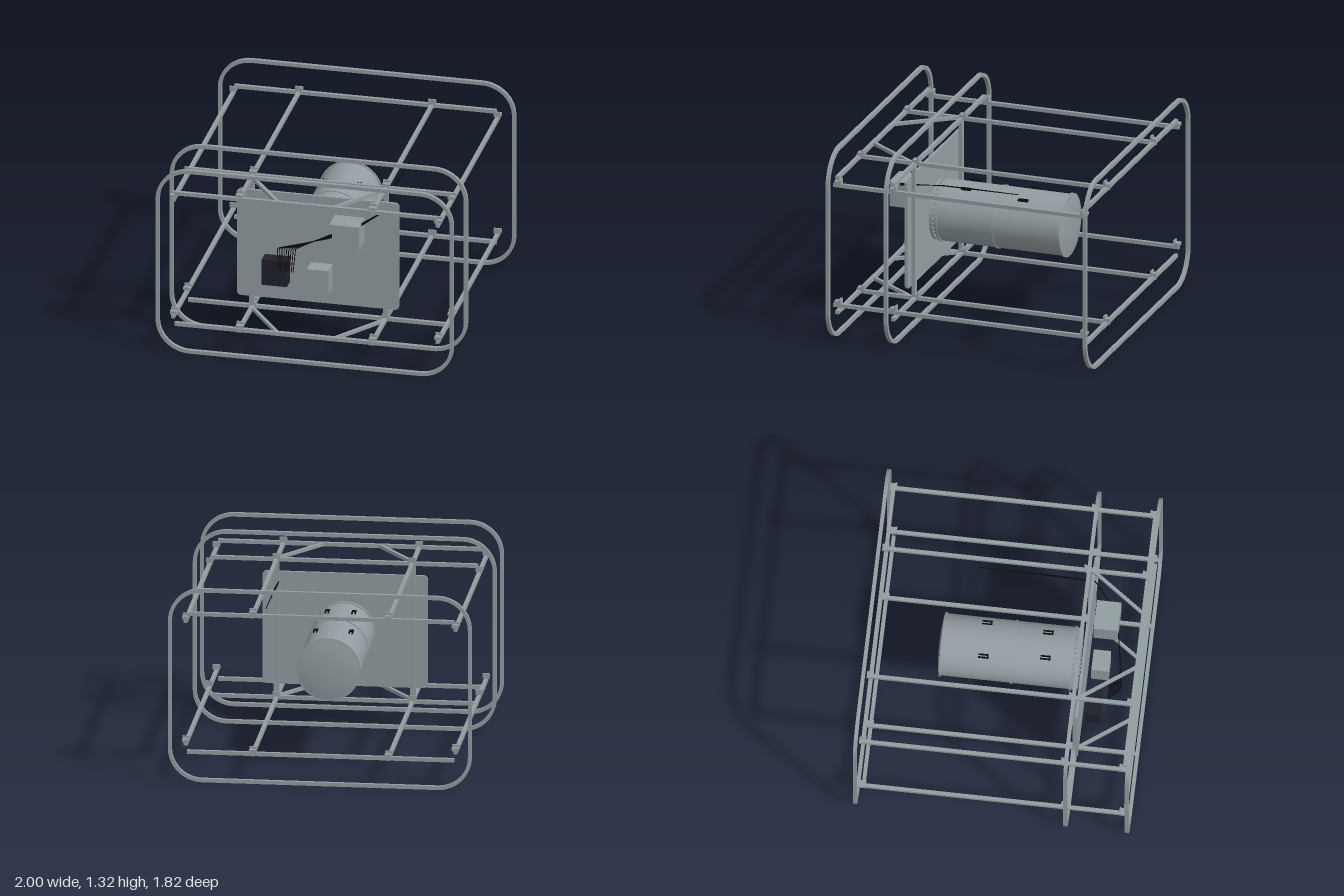
import * as THREE from 'three';
import { toCreasedNormals } from 'three/addons/utils/BufferGeometryUtils.js';

export function createModel() {
  const model = new THREE.Group();
  const material = (name, color) => {
    const m = new THREE.MeshStandardMaterial({ color });
    m.name = name;
    return m;
  };
  const steel = material('steel grey', 0x929da1);
  const darkBox = material('dark casing', 0x20202b);
  const black = material('black rubber', 0x0b0b0d);

  const add = (name, geometry, mat = steel, parent = model) => {
    const mesh = new THREE.Mesh(geometry, mat);
    mesh.name = name;
    parent.add(mesh);
    return mesh;
  };
  const box = (name, w, h, d, x, y, z, mat = steel) => {
    const mesh = add(name, new THREE.BoxGeometry(w, h, d), mat);
    mesh.position.set(x, y, z);
    return mesh;
  };
  // Square bar between two points
  const bar = (name, a, b, t) => {
    const from = new THREE.Vector3(...a), to = new THREE.Vector3(...b);
    const mesh = add(name, new THREE.BoxGeometry(t, t, from.distanceTo(to)));
    mesh.position.copy(from).add(to).multiplyScalar(0.5);
    mesh.lookAt(to);
    return mesh;
  };
  // Rounded rectangle outline
  const rounded = (Type, x0, y0, x1, y1, r) => {
    const p = new Type();
    p.absarc(x1 - r, y0 + r, r, -Math.PI / 2, 0);
    p.absarc(x1 - r, y1 - r, r, 0, Math.PI / 2);
    p.absarc(x0 + r, y1 - r, r, Math.PI / 2, Math.PI);
    p.absarc(x0 + r, y0 + r, r, Math.PI, Math.PI * 1.5);
    p.closePath();
    return p;
  };
  const extrude = (shape, depth) => toCreasedNormals(
    new THREE.ExtrudeGeometry(shape, { depth, bevelEnabled: false, curveSegments: 12 }), 0.5);

  // Three rounded hoop frames
  const T = 0.025;
  const hoop = rounded(THREE.Shape, -1, 0.003, 1, 1.32, 0.225);
  hoop.holes.push(rounded(THREE.Path, -1 + T, 0.003 + T, 1 - T, 1.32 - T, 0.2));
  const hoopGeometry = extrude(hoop, T);
  for (const z of [0.89, 0.485, -0.9]) add('hoopFrame', hoopGeometry).position.z = z - T / 2;

  // Cross bars beside every hoop
  for (const z of [0.865, 0.478, -0.857])
    for (const y of [1.133, 0.193]) box('crossBar', 1.76, T, T, 0, y, z);

  // Long rails with their clamps
  for (const side of [-1, 1]) {
    for (const [x, ys] of [[0.888, [1.087, 0.25]], [0.447, [1.133, 0.193]]]) {
      for (const y of ys) {
        box('longRail', T, T, 1.76, side * x, y, 0.005);
        for (const z of [0.852, 0.468, -0.86]) {
          box('clampBase', 0.046, 0.02, 0.045, side * x, y + 0.022, z);
          box('clampUpright', 0.046, 0.035, 0.012, side * x, y + 0.03, z - Math.sign(z) * 0.016);
        }
      }
    }
    // Posts carrying the panel, and diagonal braces to the front hoop
    box('post', 0.036, 0.96, 0.025, side * 0.45, 0.665, 0.485);
    for (const y of [1.133, 0.193])
      bar('diagonalBrace', [side * 0.45, y, 0.5], [side * 0.19, y, 0.86], 0.022);
  }

  // Mounting panel
  add('panel', extrude(rounded(THREE.Shape, -0.545, 0.28, 0.545, 1.045, 0.03), 0.018)).position.z = 0.498;

  // Equipment boxes
  box('upperBox', 0.2, 0.175, 0.16, 0.22, 0.848, 0.625);
  box('lowerBox', 0.145, 0.165, 0.115, 0.033, 0.497, 0.605);
  box('darkBox', 0.17, 0.18, 0.095, -0.265, 0.515, 0.59, darkBox);

  // Tank: domed rear end, three rims and front flange
  const tank = new THREE.Group();
  tank.name = 'tank';
  tank.position.y = 0.66;
  model.add(tank);
  const profile = [
    [0, -0.457], [0.1, -0.453], [0.18, -0.445], [0.205, -0.438], [0.213, -0.438], [0.213, -0.425],
    [0.205, -0.425], [0.205, 0.028], [0.211, 0.028], [0.211, 0.045], [0.205, 0.045],
    [0.205, 0.418], [0.213, 0.418], [0.213, 0.432], [0.19, 0.432], [0.19, 0.455],
    [0.203, 0.455], [0.203, 0.472], [0, 0.472],
  ].map(([r, y]) => new THREE.Vector2(r, y));
  add('tankShell', toCreasedNormals(new THREE.LatheGeometry(profile, 64).rotateX(Math.PI / 2), 0.5), steel, tank);

  // Ring of bolts around the flange
  const boltGeometry = new THREE.CylinderGeometry(0.006, 0.006, 0.03, 6).rotateX(Math.PI / 2);
  for (let i = 0; i < 36; i++) {
    const a = (i / 36) * Math.PI * 2;
    add('flangeBolt', boltGeometry, steel, tank)
      .position.set(Math.cos(a) * 0.198, Math.sin(a) * 0.198, 0.44);
  }

  // U-shaped handles on top of the tank
  for (const side of [-1, 1]) {
    for (const [x, y, z] of [[0.117, 0.838, -0.155], [0.088, 0.855, 0.25]]) {
      for (const s of [-1, 1])
        box('handleArm', 0.008, 0.012, 0.065, side * x + s * 0.01, y, z, black);
      box('handleEnd', 0.028, 0.012, 0.01, side * x, y, z + 0.03, black);
    }
  }

  // Bundle of cables running past the upper box and over the panel edge
  const count = 9;
  for (let i = 0; i < count; i++) {
    const t = i / (count - 1);
    const s = t - 0.5;
    const points = [
      [-0.225 + 0.095 * t, 0.555, 0.675],
      [-0.215 + 0.12 * t, 0.76, 0.765 - 0.015 * t],
      [0.12, 0.85 + 0.025 * s, 0.71],
      [0.31, 0.918 + 0.016 * s, 0.635],
      [0.435, 0.975 + 0.005 * s, 0.52],
      [0.432 + 0.008 * s, 0.995, 0.29],
      [0.434 + 0.002 * s, 1.0, 0.05 - 0.29 * t],
    ].map((p) => new THREE.Vector3(...p));
    const path = new THREE.CurvePath();
    for (let k = 1; k < points.length; k++) path.add(new THREE.LineCurve3(points[k - 1], points[k]));
    add('cable', new THREE.TubeGeometry(path, 60, 0.0028, 5), black);
  }

  return model;
}
